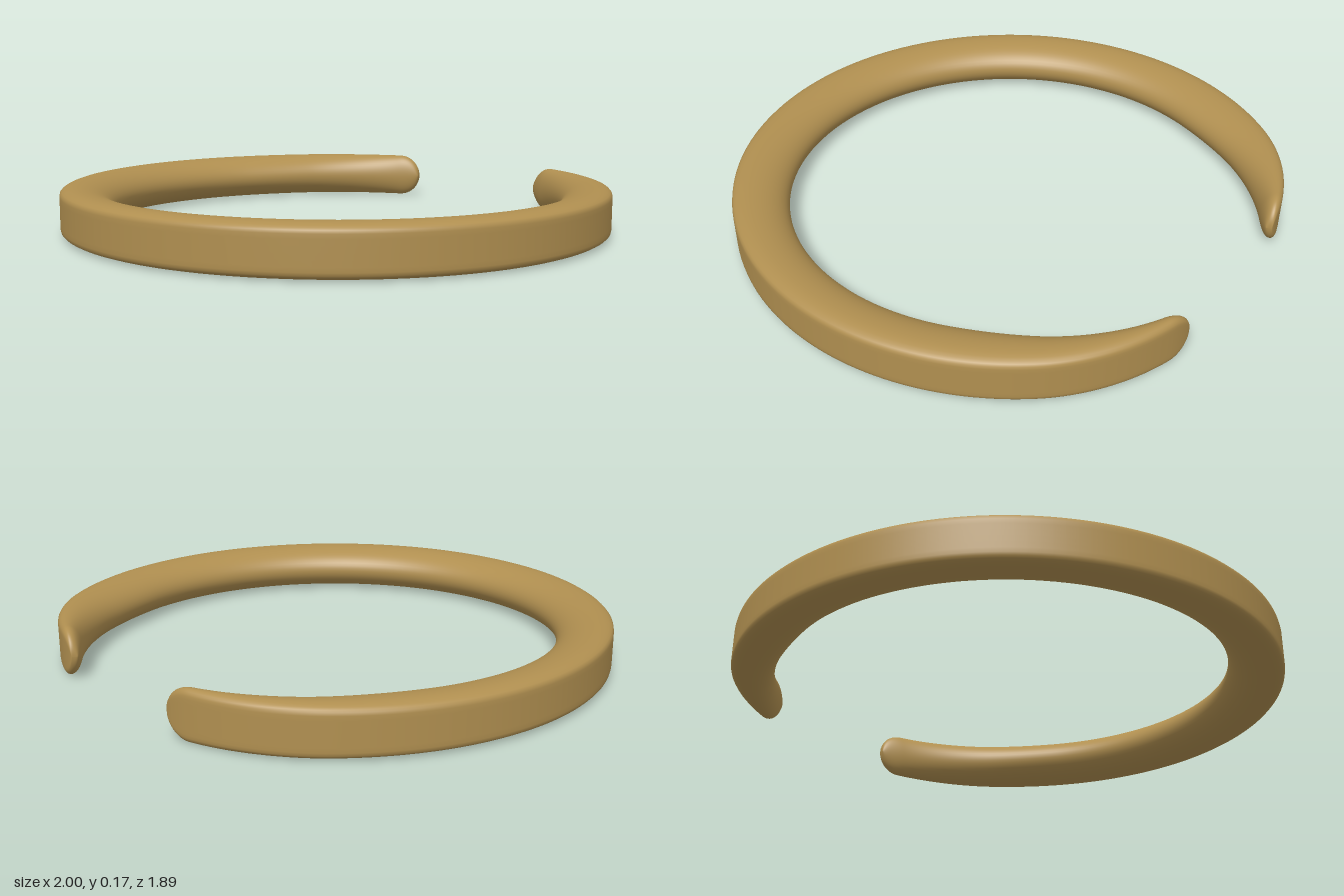
import * as THREE from 'three';

const HEIGHT = 0.172, CENTRE_Z = -0.05, END = 161, TIP = 5.5;
const { clamp, degToRad } = THREE.MathUtils;

// D-shaped section: u runs from the outer wall (0) to the inner edge (1), v is height
function sectionPoints() {
  const top = [];
  for (const v of [0, 0.12, 0.24, 0.33]) top.push([0, v]);
  for (let i = 1; i <= 6; i++) { // rounded outer corner
    const a = (i / 6) * Math.PI / 2;
    top.push([0.3 * (1 - Math.cos(a)), 0.35 + 0.15 * Math.sin(a)]);
  }
  for (let i = 1; i <= 12; i++) { // domed inner side
    const a = (i / 12) * Math.PI / 2;
    top.push([0.3 + 0.7 * Math.sin(a), 0.5 * Math.cos(a)]);
  }
  const bottom = top.slice(1, -1).reverse().map(([u, v]) => [u, -v]);
  return [...top, ...bottom];
}

// Sweep the section round the open ring, thinning it towards both tips
function bandGeometry(steps = 220) {
  const section = sectionPoints(), n = section.length;
  const positions = [], index = [];
  for (let i = 0; i <= steps; i++) {
    const deg = END * Math.sin((i / steps * 2 - 1) * Math.PI / 2); // denser at the tips
    const phi = degToRad(deg), fromBack = 180 - Math.abs(deg);
    const outer = 1 - 0.048 * Math.pow(Math.max(0, (50 - fromBack) / 31), 1.6);
    const taper = clamp((fromBack - (180 - END)) / 50, 0, 1);
    const width = 0.045 + 0.15 * Math.sin(taper * Math.PI / 2);
    const k = clamp(1 - (END - Math.abs(deg)) / TIP, 0, 1);
    const round = Math.sqrt(Math.max(0, 1 - k * k)); // rounded tip
    const w = width * (0.4 + 0.6 * round);
    for (const [u, v] of section) {
      const r = outer - (width - w) * 0.4 - u * w;
      positions.push(Math.sin(phi) * r, HEIGHT * (0.5 + v * Math.max(round, 0.01)), CENTRE_Z + Math.cos(phi) * r);
    }
  }
  for (let i = 0; i < steps; i++) {
    for (let j = 0; j < n; j++) {
      const a = i * n + j, c = i * n + (j + 1) % n;
      index.push(a, a + n, c, c, a + n, c + n);
    }
  }
  // close the two ends
  const last = steps * n;
  for (let j = 1; j < n - 1; j++) {
    index.push(0, j, j + 1, last, last + j + 1, last + j);
  }
  const geometry = new THREE.BufferGeometry();
  geometry.setAttribute('position', new THREE.Float32BufferAttribute(positions, 3));
  geometry.setIndex(index);
  geometry.computeVertexNormals();
  return geometry;
}

export function createModel() {
  const group = new THREE.Group();
  group.name = 'openBracelet';
  const bronze = new THREE.MeshStandardMaterial({ color: 0xb08f50 });
  bronze.name = 'bronze';
  const band = new THREE.Mesh(bandGeometry(), bronze);
  band.name = 'band';
  group.add(band);
  return group;
}
